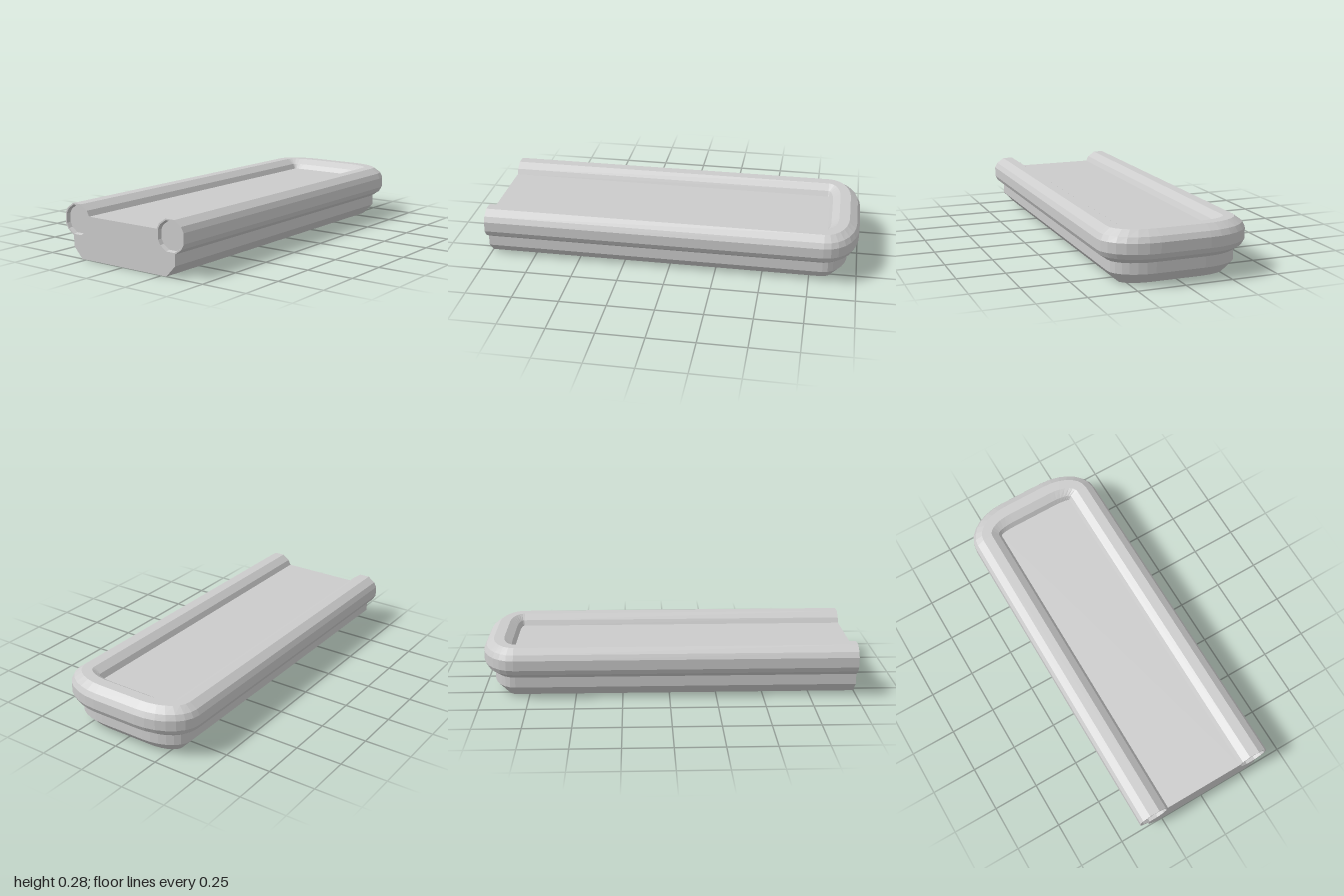
import * as THREE from 'three';

const HALF_W = 0.39, TUBE_X = 0.307, TUBE_Y = 0.198, DECK_Y = 0.225;

// Facets of the twelve-sided tube around its centre, counter-clockwise
const TUBE = [
  [0.083, 0.027], [0.068, 0.055], [0.028, 0.083], [-0.028, 0.083], [-0.068, 0.055], [-0.083, 0.027],
  [-0.083, -0.027], [-0.068, -0.055], [-0.028, -0.083], [0.028, -0.083], [0.068, -0.055], [0.083, -0.027],
];

// Shell section as [inset from the outer outline, height]: tube, wall, chamfer
const onTube = (i) => [HALF_W - TUBE_X - TUBE[i][0], TUBE_Y + TUBE[i][1]];
const SECTION = [...[5, 4, 3, 2, 1, 0, 11, 10, 9].map(onTube), [0.055, 0.058], [0.11, 0]];

const material = new THREE.MeshStandardMaterial({ color: 0xcccccc, flatShading: true, side: THREE.DoubleSide });

function mesh(name, geometry) {
  const m = new THREE.Mesh(geometry, material);
  m.name = name;
  return m;
}

// Joins rows of equal point counts with quads
function loft(rows) {
  const n = rows[0].length, index = [];
  for (let i = 0; i < rows.length - 1; i++) {
    for (let j = 0; j < n - 1; j++) {
      const a = i * n + j, b = a + n;
      index.push(a, b, a + 1, b, b + 1, a + 1);
    }
  }
  const g = new THREE.BufferGeometry();
  g.setAttribute('position', new THREE.Float32BufferAttribute(rows.flat(2), 3));
  g.setIndex(index);
  const flat = g.toNonIndexed();
  flat.computeVertexNormals();
  return flat;
}

// U-shaped outline [x, z]: open at the front, rounded corners at the back
function outline(inset, segments = 7) {
  const rx = 0.26 - inset, rz = 0.18 - inset;
  const half = [[HALF_W - inset, 1]];
  for (let i = 0; i <= segments; i++) {
    const a = (i / segments) * Math.PI / 2;
    half.push([0.13 + rx * Math.cos(a), -0.82 - rz * Math.sin(a)]);
  }
  return [...half, ...half.map(([x, z]) => [-x, z]).reverse()];
}

const toPoints = (list) => list.map(([x, y]) => new THREE.Vector2(x, y));
const ring = (x, s) => TUBE.map(([u, v]) => [x + u * s, TUBE_Y + v * s]);

export function createModel() {
  const group = new THREE.Group();
  group.name = 'trough';

  // Bumper tube and side walls swept around the back, open underneath
  group.add(mesh('rimAndWalls', loft(SECTION.map(([d, y]) => outline(d).map(([x, z]) => [x, y, z])))));

  // Flat deck between the tubes
  const deckShape = new THREE.Shape(toPoints(outline(SECTION[0][0]).map(([x, z]) => [x, -z])));
  const deck = mesh('deck', new THREE.ShapeGeometry(deckShape).rotateX(-Math.PI / 2));
  deck.position.y = DECK_Y;
  group.add(deck);

  // Front plate following the section, with a hole at each tube end
  const right = SECTION.map(([d, y]) => [HALF_W - d, y]);
  const left = right.map(([x, y]) => [-x, y]).reverse();
  const plate = new THREE.Shape(toPoints([...right, ...left]));
  for (const s of [-1, 1]) plate.holes.push(new THREE.Path(toPoints(ring(s * TUBE_X, 0.91))));
  const front = mesh('frontPlate', new THREE.ShapeGeometry(plate));
  front.position.z = 1;
  group.add(front);

  // Recessed tube ends
  for (const s of [-1, 1]) {
    const side = s > 0 ? 'left' : 'right';
    const rows = [[0.85, 0.98], [0.91, 1]].map(([scale, z]) => {
      const r = ring(s * TUBE_X, scale).map(([x, y]) => [x, y, z]);
      return [...r, r[0]];
    });
    group.add(mesh(side + 'EndRim', loft(rows)));
    const disc = mesh(side + 'EndDisc', new THREE.ShapeGeometry(new THREE.Shape(toPoints(ring(s * TUBE_X, 0.85)))));
    disc.position.z = 0.98;
    group.add(disc);
  }
  return group;
}
